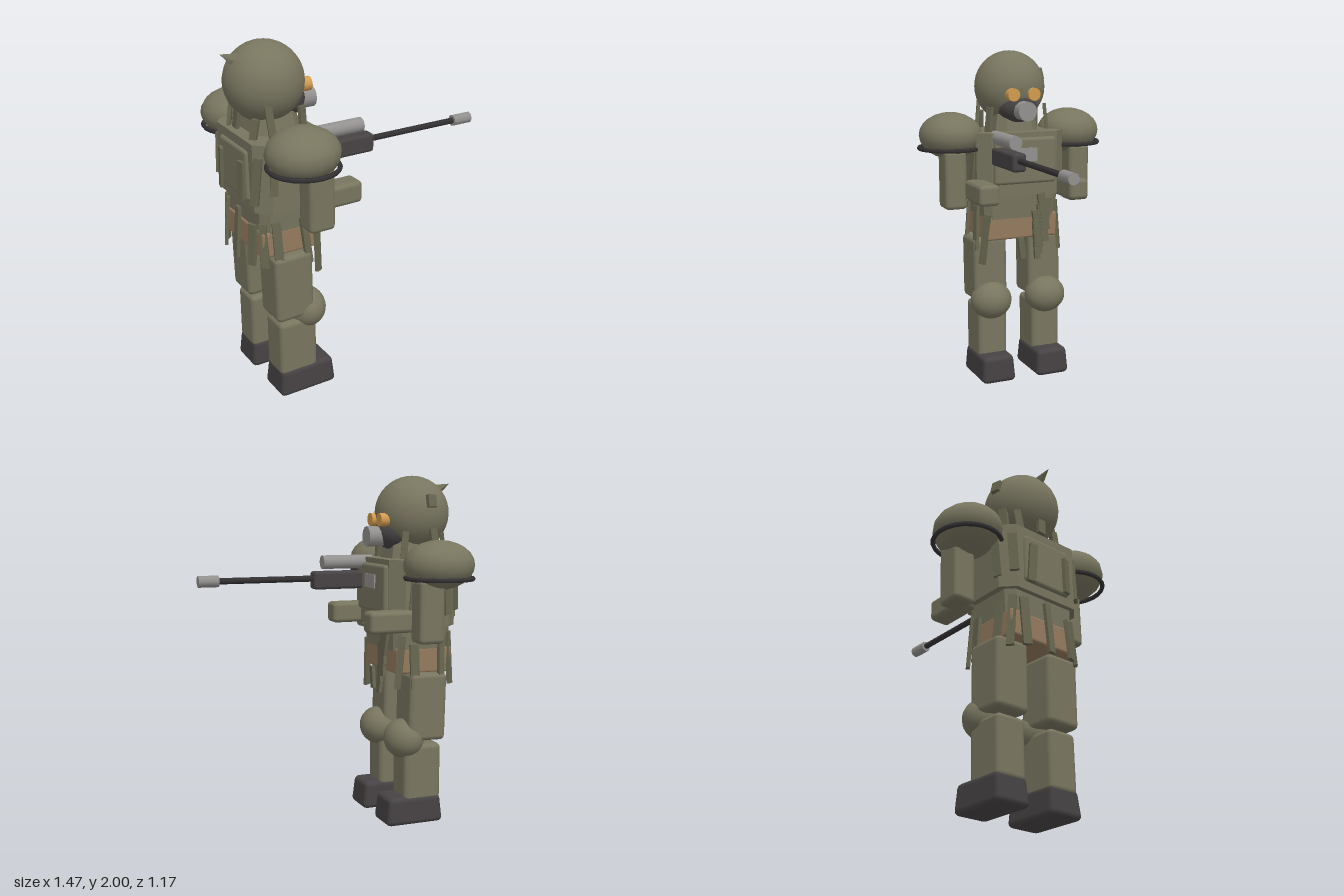
import * as THREE from 'three';
import { RoundedBoxGeometry } from 'three/addons/geometries/RoundedBoxGeometry.js';

const material = (name, color) => new THREE.MeshStandardMaterial({ name, color });

export function createModel() {
  const model = new THREE.Group();
  model.name = 'armouredSoldier';

  const olive = material('olive', 0x78755f);
  const cloth = material('darkOlive', 0x676650);
  const dark = material('charcoal', 0x474344);
  const black = material('gunBlack', 0x343133);
  const steel = material('steel', 0x93918f);
  const leather = material('leather', 0x957a5e);
  const amber = material('amber', 0xd39b4e);

  const add = (name, geometry, mat, x, y, z, parent = model) => {
    const mesh = new THREE.Mesh(geometry, mat);
    mesh.name = name;
    mesh.position.set(x, y, z);
    parent.add(mesh);
    return mesh;
  };

  // Scale x and z linearly from 1 at height y0 to taper at the top
  const taperTop = (g, y0, h, taper) => {
    const p = g.attributes.position;
    for (let i = 0; i < p.count; i++) {
      const k = 1 + (taper - 1) * (p.getY(i) - y0) / h;
      p.setX(i, p.getX(i) * k);
      p.setZ(i, p.getZ(i) * k);
    }
    return g;
  };

  // Rounded box given by its limits
  const box = (name, mat, [x0, x1], [y0, y1], [z0, z1], r = 0.02, taper = 1) => {
    const h = y1 - y0;
    const g = new RoundedBoxGeometry(x1 - x0, h, z1 - z0, 2, r);
    return add(name, taperTop(g, -h / 2, h, taper), mat, (x0 + x1) / 2, (y0 + y1) / 2, (z0 + z1) / 2);
  };

  const ball = (name, mat, x, y, z, rx, ry, rz, w = 24, h = 16) => {
    const mesh = add(name, new THREE.SphereGeometry(1, w, h), mat, x, y, z);
    mesh.scale.set(rx, ry, rz);
    return mesh;
  };

  // Cylinder lying along x
  const rod = (name, mat, x0, x1, y, z, r, sides = 16) => {
    const g = new THREE.CylinderGeometry(r, r, x1 - x0, sides).rotateZ(-Math.PI / 2);
    return add(name, g, mat, (x0 + x1) / 2, y, z);
  };

  // Block with chamfered corners, from half sizes at the bottom
  const octBlock = (name, mat, y0, y1, hx, hz, c, taper) => {
    const h = y1 - y0;
    const points = [];
    for (const [sx, sz] of [[1, 1], [-1, 1], [-1, -1], [1, -1]]) {
      const corner = [
        new THREE.Vector2(sx * hx, sz * (hz - c)),
        new THREE.Vector2(sx * (hx - c), sz * hz),
      ];
      points.push(...(sx * sz > 0 ? corner : corner.reverse()));
    }
    const g = new THREE.ExtrudeGeometry(new THREE.Shape(points), { depth: h, bevelEnabled: false });
    taperTop(g.rotateX(-Math.PI / 2), 0, h, taper).computeVertexNormals();
    return add(name, g, mat, -0.47, y0, 0);
  };

  // Head, mask and goggles
  ball('helmet', olive, -0.495, 1.785, 0, 0.216, 0.215, 0.212, 32, 20);
  ball('mask', dark, -0.385, 1.675, 0, 0.115, 0.1, 0.122);
  rod('filter', steel, -0.31, -0.21, 1.655, 0, 0.058, 12);
  for (const s of [1, -1]) rod('lens', amber, -0.32, -0.26, 1.75, s * 0.065, 0.038);
  const spike = add('helmetSpike', new THREE.ConeGeometry(0.042, 0.11, 4), olive, -0.685, 1.933, 0);
  spike.rotation.z = 1.13;
  const tab = add('helmetTab', new THREE.BoxGeometry(0.055, 0.07, 0.025), cloth, -0.52, 1.855, -0.206);
  tab.rotation.set(0.25, 0.2, 0);

  // Torso
  octBlock('neck', olive, 1.5, 1.63, 0.14, 0.14, 0.05, 0.85);
  octBlock('chest', olive, 1.15, 1.53, 0.205, 0.275, 0.07, 1.02);
  octBlock('waist', olive, 1.01, 1.16, 0.17, 0.23, 0.04, 1.05);
  box('belt', leather, [-0.65, -0.305], [0.88, 1.03], [-0.232, 0.232], 0.015);
  box('chestPlate', olive, [-0.32, -0.238], [1.225, 1.5], [-0.198, 0.198]);
  add('chestBadge', new THREE.BoxGeometry(0.009, 0.08, 0.14), steel, -0.235, 1.4, 0);
  box('backPlate', olive, [-0.695, -0.62], [1.2, 1.48], [-0.16, 0.16]);

  // Shoulders and limbs, mirrored about z = 0
  for (const s of [1, -1]) {
    const side = (a, b) => (s > 0 ? [a, b] : [-b, -a]);
    ball('shoulderDome', olive, -0.482, 1.508, s * 0.385, 0.2, 0.137, 0.187, 16, 12);
    const rim = new THREE.TorusGeometry(0.186, 0.013, 6, 24).rotateX(Math.PI / 2);
    add('shoulderRim', rim, black, -0.482, 1.435, s * 0.387);
    box('upperArm', olive, [-0.487, -0.337], [1.08, 1.43], side(0.333, 0.467), 0.025);
    box('forearm', olive, [-0.37, -0.097], [1.132, 1.255], side(0.222, 0.346), 0.025);
    box('thigh', olive, [-0.6, -0.37], [0.49, 0.885], side(0.072, 0.284), 0.03).rotation.z = 0.02;
    box('shin', olive, [-0.577, -0.347], [0.13, 0.468], side(0.085, 0.27), 0.03);
    ball('kneePad', olive, -0.376, 0.495, s * 0.18, 0.115, 0.115, 0.128);
    box('boot', dark, [-0.59, -0.234], [0, 0.165], side(0.07, 0.287), 0.03, 0.9);
  }

  // Weapon
  box('gunBody', dark, [-0.3, 0.062], [1.345, 1.45], [0.124, 0.208], 0.018);
  rod('gunScope', steel, -0.31, 0, 1.502, 0.165, 0.04);
  rod('gunBarrel', black, 0.04, 0.65, 1.408, 0.165, 0.018, 8);
  rod('gunMuzzle', steel, 0.622, 0.74, 1.408, 0.165, 0.033, 8);

  // Ragged cloth strips, varied by a seeded generator
  let seed = 7;
  const vary = (amount) => {
    seed = (seed * 16807) % 2147483647;
    return (seed / 2147483647 - 0.5) * 2 * amount;
  };
  const clothStrips = new THREE.Group();
  clothStrips.name = 'clothStrips';
  model.add(clothStrips);
  const addStrip = (x, y, z, length, yaw, pitch) => {
    const g = new THREE.BoxGeometry(0.045 + vary(0.008), length, 0.02);
    const strip = add('clothStrip', g, cloth, x, y, z, clothStrips);
    strip.rotation.set(-pitch, yaw, vary(0.16), 'YXZ');
  };

  // Rings round the body, open at the front
  const stripRing = (count, gap, y, rx, rz, length, pitch) => {
    for (let i = 0; i < count; i++) {
      const a = gap + (i / (count - 1)) * 2 * (Math.PI - gap);
      const c = Math.cos(a);
      const s = Math.sin(a);
      const x = -0.47 + rx * Math.sign(c) * Math.abs(c) ** 0.6;
      const z = rz * Math.sign(s) * Math.abs(s) ** 0.6;
      addStrip(x, y + vary(0.04), z, length + vary(0.04), Math.atan2(c, s), pitch);
    }
  };
  stripRing(11, 1, 0.93, 0.215, 0.262, 0.27, 0.08);
  stripRing(8, 1.4, 1.32, 0.24, 0.285, 0.23, 0.02);
  stripRing(7, 1.2, 1.59, 0.185, 0.19, 0.17, 0.1);

  // Bundle hanging down the front of the hips
  for (let i = 0; i < 6; i++) {
    addStrip(-0.268, 0.87 + 0.035 * i, -0.06 - 0.016 * i + vary(0.02), 0.23, Math.PI / 2, 0.05);
  }
  addStrip(-0.265, 0.83, 0.02, 0.13, Math.PI / 2, 0);

  return model;
}
